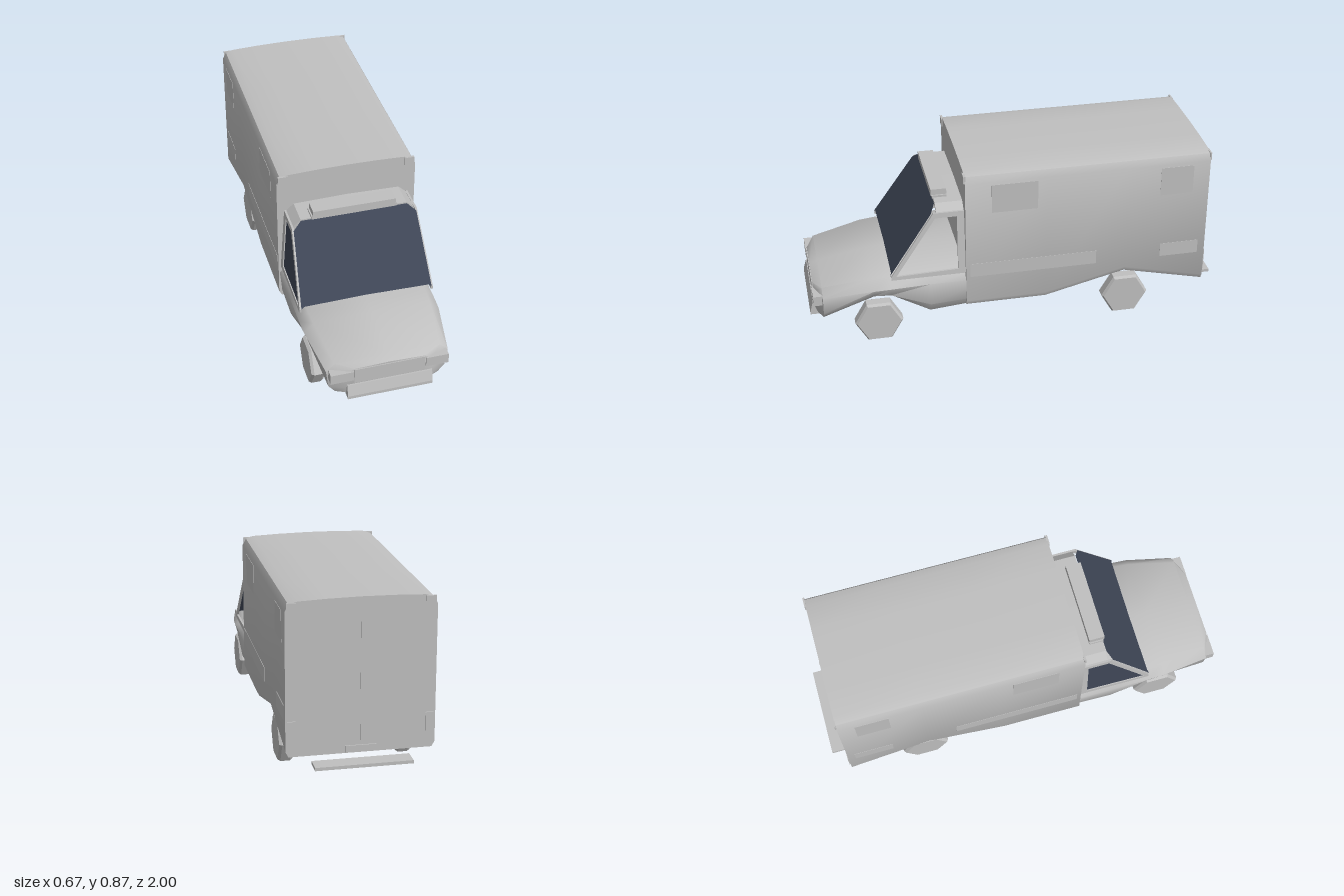
import * as THREE from 'three';
import { toCreasedNormals } from 'three/addons/utils/BufferGeometryUtils.js';

const paint = new THREE.MeshStandardMaterial({ color: 0xc0c0c0 });
paint.name = 'grey paint';
const glass = new THREE.MeshStandardMaterial({ color: 0x3f4757, side: THREE.DoubleSide });
glass.name = 'dark glass';

// Closed body from half cross-sections (top centre to bottom centre), ordered front to back
function loft(sections, crease) {
  const rings = sections.map(({ z, half }) => {
    const mirrored = half.slice(1, -1).reverse().map(([x, y]) => [-x, y]);
    return [...half, ...mirrored].map(([x, y]) => [x, y, z]);
  });
  const n = rings[0].length;
  const pos = [];
  const tri = (...pts) => pts.forEach((p) => pos.push(...p));
  for (let i = 0; i < rings.length - 1; i++) {
    for (let j = 0; j < n; j++) {
      const k = (j + 1) % n;
      const a = rings[i][j], b = rings[i][k], c = rings[i + 1][k], d = rings[i + 1][j];
      tri(a, b, d);
      tri(b, c, d);
    }
  }
  const front = rings[0], back = rings[rings.length - 1];
  for (let j = 1; j < n - 1; j++) {
    tri(front[0], front[j + 1], front[j]);
    tri(back[0], back[j], back[j + 1]);
  }
  const g = new THREE.BufferGeometry();
  g.setAttribute('position', new THREE.Float32BufferAttribute(pos, 3));
  return toCreasedNormals(g, crease);
}

const shapeOf = (pts) => new THREE.Shape(pts.map(([x, y]) => new THREE.Vector2(x, y)));

// Move every vertex by a rule
function bend(g, rule) {
  const p = g.attributes.position;
  const v = new THREE.Vector3();
  for (let i = 0; i < p.count; i++) {
    rule(v.fromBufferAttribute(p, i));
    p.setXYZ(i, v.x, v.y, v.z);
  }
  g.computeVertexNormals();
  return g;
}

export function createModel() {
  const model = new THREE.Group();
  const add = (name, geometry, material = paint) => {
    const m = new THREE.Mesh(geometry, material);
    m.name = name;
    model.add(m);
    return m;
  };
  // Box given by its limits on each axis
  const block = (name, [x0, x1], [y0, y1], [z0, z1]) =>
    add(name, new THREE.BoxGeometry(x1 - x0, y1 - y0, z1 - z0))
      .position.set((x0 + x1) / 2, (y0 + y1) / 2, (z0 + z1) / 2);

  // Cargo box with the underside arched over the rear axle
  const boxSections = [[0.26, 0.155], [-0.13, 0.155], [-0.52, 0.25], [-0.92, 0.155]].map(([z, b]) => ({
    z,
    half: [[0, 0.865], [0.15, 0.863], [0.28, 0.858], [0.318, 0.847], [0.335, 0.815],
      [0.335, b + 0.025], [0.322, b], [0, b]],
  }));
  add('cargoBox', loft(boxSections, 0.8));

  // Bonnet and lower cab: z, shoulder width, top, width, waist, lower width, bottom
  const hood = [
    [0.978, 0.165, 0.272, 0.20, 0.25, 0.19, 0.125],
    [0.94, 0.245, 0.288, 0.287, 0.25, 0.265, 0.122],
    [0.70, 0.28, 0.332, 0.325, 0.285, 0.30, 0.238],
    [0.62, 0.285, 0.338, 0.328, 0.288, 0.31, 0.235],
    [0.43, 0.29, 0.338, 0.33, 0.295, 0.31, 0.124],
    [0.15, 0.29, 0.336, 0.33, 0.295, 0.31, 0.148],
  ].map(([z, wt, top, w, mid, wl, b]) => ({
    z,
    half: [[0, top + 0.005], [wt, top], [w, mid], [(w + wl) / 2, b + 0.035 * (mid - b) / 0.12], [wl - 0.02, b], [0, b]],
  }));
  add('bonnetAndLowerCab', loft(hood, 0.9));

  // Cab roof
  const roof = shapeOf([[-0.297, 0.635], [-0.297, 0.655], [-0.255, 0.692], [0, 0.698], [0.255, 0.692],
    [0.297, 0.655], [0.297, 0.635], [0.285, 0.635], [0.285, 0.65], [0.25, 0.678], [-0.25, 0.678],
    [-0.285, 0.65], [-0.285, 0.635]]);
  const roofGeo = new THREE.ExtrudeGeometry(roof, { depth: 0.13, bevelEnabled: false });
  roofGeo.translate(0, 0, 0.26);
  add('cabRoof', roofGeo);

  // Windscreen
  const screen = new THREE.ShapeGeometry(shapeOf([[-0.315, 0.355], [-0.3, 0.364], [0, 0.368], [0.3, 0.364],
    [0.315, 0.355], [0.295, 0.655], [0.255, 0.689], [-0.255, 0.689], [-0.295, 0.655]]));
  add('windscreen', bend(screen, (v) => { v.z = 0.62 - (v.y - 0.355) * 0.678; }), glass);

  // Cab door frames lean inwards; the right one carries a pane, the left is open
  const opening = [[0.592, 0.352], [0.397, 0.637], [0.295, 0.637], [0.295, 0.36]];
  for (const side of [-1, 1]) {
    const lean = (v) => { v.x += side * (0.318 - (v.y - 0.35) * 0.07); };
    const frame = shapeOf([[0.615, 0.335], [0.615, 0.352], [0.405, 0.662], [0.26, 0.662], [0.26, 0.335]]);
    frame.holes.push(new THREE.Path(opening.map(([z, y]) => new THREE.Vector2(z, y))));
    const g = new THREE.ExtrudeGeometry(frame, { depth: 0.01, bevelEnabled: false });
    g.rotateY(-Math.PI / 2).translate(0.005, 0, 0);
    add('doorFrame', bend(g, lean));
    if (side < 0) {
      const pane = new THREE.ShapeGeometry(shapeOf(opening)).rotateY(-Math.PI / 2);
      add('doorWindow', bend(pane, lean), glass);
    }
  }

  // Roof light bar
  block('lightBarBase', [-0.205, 0.205], [0.685, 0.703], [0.325, 0.395]);
  block('lightBar', [-0.198, 0.198], [0.70, 0.732], [0.325, 0.40]);

  // Bumpers
  const bumper = new THREE.ExtrudeGeometry(
    shapeOf([[0.9, 0.115], [1, 0.115], [1, 0.13], [0.985, 0.184], [0.9, 0.184]]),
    { depth: 0.4, bevelEnabled: false });
  bumper.rotateY(-Math.PI / 2).translate(0.2, 0, 0);
  add('frontBumper', bumper);
  block('rearStep', [-0.22, 0.22], [0.115, 0.13], [-1, -0.92]);

  // Grille panel and rear door details
  block('grille', [-0.165, 0.165], [0.19, 0.268], [0.97, 0.982]);
  block('doorSeam', [-0.003, 0.003], [0.19, 0.84], [-0.923, -0.918]);
  block('rearPlate', [-0.07, 0.07], [0.16, 0.19], [-0.926, -0.918]);

  // Paired lamps and side panels
  for (const s of [-1, 1]) {
    const span = (a, b) => (s > 0 ? [a, b] : [-b, -a]);
    block('headlight', span(0.17, 0.277), [0.21, 0.26], [0.93, 0.985]);
    block('frontCornerLamp', span(0.28, 0.328), [0.815, 0.853], [0.255, 0.266]);
    block('rearCornerLamp', span(0.28, 0.328), [0.815, 0.853], [-0.926, -0.918]);
    block('tailLamp', span(0.29, 0.328), [0.21, 0.32], [-0.926, -0.918]);
    for (const z of [[-0.085, 0.135], [-0.84, -0.68]]) {
      block('sidePanel', span(0.333, 0.3365), [0.655, 0.80], z);
    }
    for (const z of [[-0.375, 0.24], [-0.885, -0.695]]) {
      block('lowerSidePanel', span(0.333, 0.3365), [0.315, 0.385], z);
    }
  }

  // Six-sided wheels with a slight chamfer
  const profile = [[0, -0.035], [0.106, -0.035], [0.1155, -0.022], [0.1155, 0.022], [0.106, 0.035], [0, 0.035]]
    .map(([r, h]) => new THREE.Vector2(r, h));
  const wheel = toCreasedNormals(new THREE.LatheGeometry(profile, 6), 0.1);
  wheel.rotateY(Math.PI / 2).rotateZ(Math.PI / 2);
  wheel.computeBoundingBox();
  // Keep a flat side on the ground
  if (wheel.boundingBox.max.y > 0.11) wheel.rotateX(Math.PI / 6);
  for (const z of [0.68, -0.535]) {
    for (const s of [-1, 1]) add('wheel', wheel).position.set(s * 0.279, 0.1, z);
  }

  return model;
}
